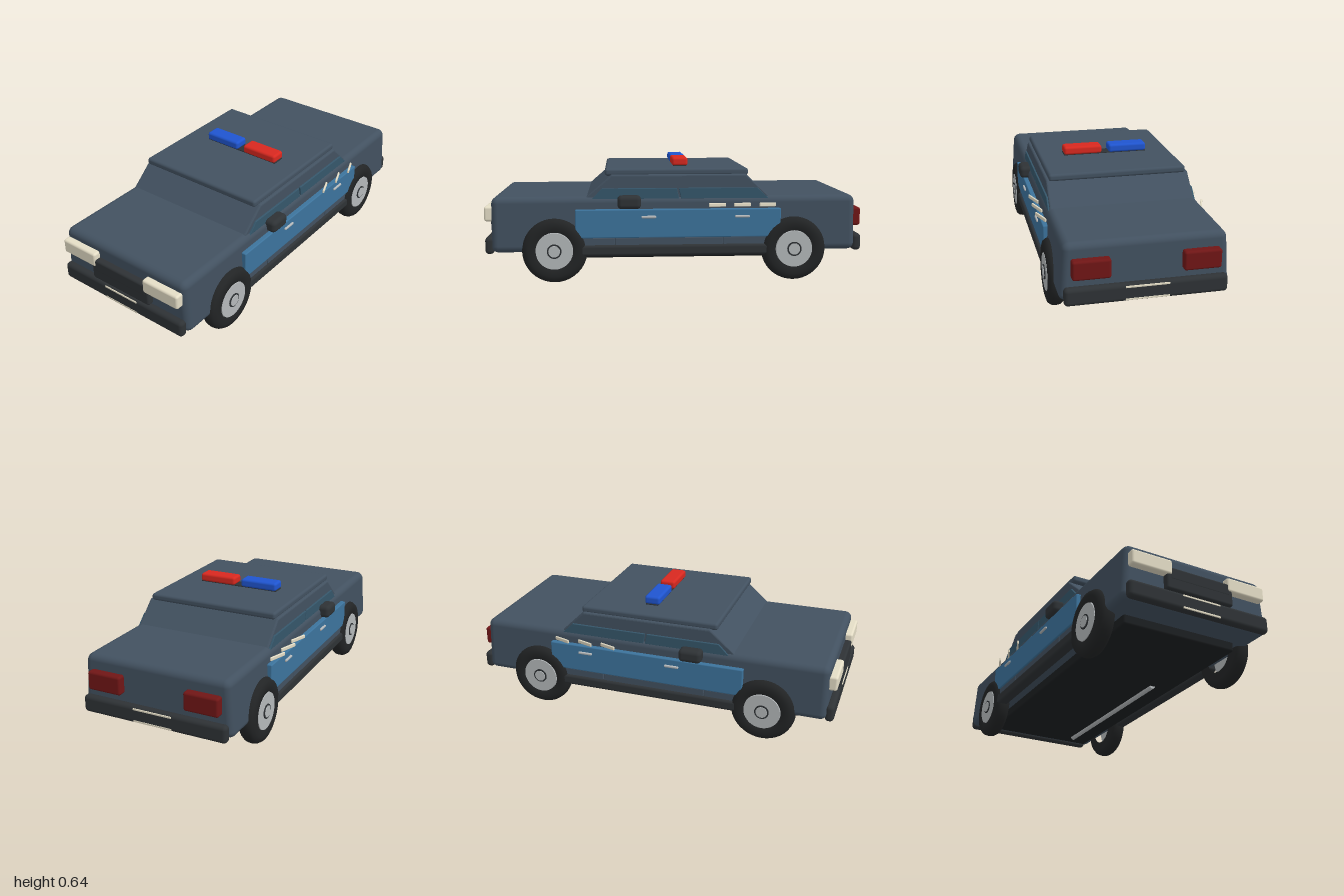
import * as THREE from 'three';
import { RoundedBoxGeometry } from 'three/addons/geometries/RoundedBoxGeometry.js';

const paint = (color) => new THREE.MeshStandardMaterial({ color });
const mats = {
  body: paint(0x425160), door: paint(0x3c739c), glass: paint(0x35566a),
  rubber: paint(0x222425), trim: paint(0x2e3235), under: paint(0x1c1f21),
  metal: paint(0xb4b8ba), cream: paint(0xe4ddc6), tail: paint(0x701616),
  red: paint(0xd8281f), blue: paint(0x1f55d0),
};

export function createModel() {
  const car = new THREE.Group();
  car.name = 'patrolCar';

  function add(name, geometry, material, parent = car) {
    const mesh = new THREE.Mesh(geometry, material);
    mesh.name = name;
    parent.add(mesh);
    return mesh;
  }
  // rounded box given by its extents [min, max] on each axis
  function box(name, x, y, z, radius, material, parent) {
    const size = [x, y, z].map(([a, b]) => b - a);
    const r = Math.min(radius, Math.min(...size) * 0.49);
    const mesh = add(name, new RoundedBoxGeometry(...size, 3, r), material, parent);
    mesh.position.set((x[0] + x[1]) / 2, (y[0] + y[1]) / 2, (z[0] + z[1]) / 2);
    return mesh;
  }
  const mirrored = (s, [a, b]) => (s > 0 ? [a, b] : [-b, -a]);
  // side outline given as [z, y] points, extruded along x from x0 to x1
  function sideProfile(name, points, x0, x1, bevel, material) {
    const shape = new THREE.Shape(points.map(([z, y]) => new THREE.Vector2(-z, y)));
    const geometry = new THREE.ExtrudeGeometry(shape, {
      depth: x1 - x0 - 2 * bevel, bevelEnabled: bevel > 0, bevelSize: bevel,
      bevelThickness: bevel, bevelOffset: -bevel, bevelSegments: 3,
    });
    geometry.rotateY(Math.PI / 2).translate(x0 + bevel, 0, 0);
    return add(name, geometry, material);
  }

  // body shell, leaning inwards slightly towards the top
  const shell = box('body', [-0.415, 0.415], [0.163, 0.455], [-0.957, 0.962], 0.035, mats.body);
  const pos = shell.geometry.attributes.position;
  for (let i = 0; i < pos.count; i++) {
    const lift = Math.max(0, pos.getY(i) / 0.146);
    pos.setX(i, pos.getX(i) * (1 - 0.05 * lift));
  }

  // cabin and roof
  sideProfile('cabin', [[0.482, 0.44], [-0.51, 0.44], [-0.375, 0.568], [0.335, 0.568]],
    -0.38, 0.38, 0.01, mats.body);
  box('roof', [-0.365, 0.365], [0.56, 0.598], [-0.388, 0.37], 0.014, mats.body);

  // roof beacons
  box('beaconBase', [-0.23, 0.23], [0.596, 0.604], [-0.07, 0], 0.003, mats.trim);
  box('blueBeacon', [-0.23, -0.02], [0.6, 0.645], [-0.077, 0.008], 0.013, mats.blue);
  box('redBeacon', [0.02, 0.23], [0.6, 0.645], [-0.077, 0.008], 0.013, mats.red);

  // floor and exhaust
  box('floor', [-0.32, 0.32], [0.115, 0.19], [-0.81, 0.81], 0.012, mats.under);
  const exhaust = add('exhaust', new THREE.CylinderGeometry(0.016, 0.016, 0.96, 14), mats.metal);
  exhaust.rotation.x = Math.PI / 2;
  exhaust.position.set(0.195, 0.116, -0.24);

  // front and rear bumpers with plate edges
  for (const s of [1, -1]) {
    const end = s > 0 ? 'front' : 'rear';
    box(end + 'Bumper', [-0.398, 0.398], [0.155, 0.245], mirrored(s, [0.95, 0.997]), 0.02, mats.trim);
    for (const y of [0.168, 0.231])
      box(end + 'PlateEdge', [-0.107, 0.107], [y - 0.005, y + 0.005],
        mirrored(s, [0.97, 0.998]), 0.002, mats.cream);
  }

  // stepped grille
  box('grille', [-0.19, 0.19], [0.25, 0.34], [0.95, 0.995], 0.012, mats.trim);
  box('grilleTop', [-0.174, 0.174], [0.3, 0.37], [0.95, 0.996], 0.012, mats.trim);

  // tyre cross-section: [radius, offset along the axle]
  const tyre = [[0.09, -0.04], [0.135, -0.043], [0.157, -0.036], [0.168, -0.02], [0.171, 0],
    [0.168, 0.02], [0.157, 0.036], [0.135, 0.043], [0.1, 0.041], [0.1, 0.03], [0, 0.03]];
  const tyreGeometry = new THREE.LatheGeometry(tyre.map(([r, h]) => new THREE.Vector2(r, h)), 40);

  for (const s of [1, -1]) {
    const side = s > 0 ? 'left' : 'right';

    // lamps
    box(side + 'Headlight', mirrored(s, [0.16, 0.382]), [0.327, 0.405], [0.95, 1], 0.012, mats.cream);
    box(side + 'TailLight', mirrored(s, [0.175, 0.36]), [0.285, 0.382], [-1, -0.95], 0.012, mats.tail);

    // windows
    const panes = {
      FrontWindow: [[0.44, 0.44], [-0.02, 0.44], [-0.008, 0.497], [0.385, 0.497]],
      RearWindow: [[-0.03, 0.44], [-0.495, 0.44], [-0.435, 0.497], [-0.018, 0.497]],
    };
    const [w0, w1] = mirrored(s, [0.37, 0.389]);
    for (const [name, points] of Object.entries(panes))
      sideProfile(side + name, points, w0, w1, 0.003, mats.glass);

    // doors, sill and skirt
    box(side + 'Doors', mirrored(s, [0.38, 0.427]), [0.24, 0.39], [-0.555, 0.525], 0.006, mats.door);
    const sills = [[-0.5, -0.252], [-0.248, 0.318], [0.322, 0.5]];
    for (const z of sills)
      box(side + 'Sill', mirrored(s, [0.39, 0.42]), [0.19, 0.24], z, 0.004, mats.body);
    box(side + 'Skirt', mirrored(s, [0.37, 0.432]), [0.145, 0.203], [-0.52, 0.52], 0.015, mats.trim);
    for (const z of [0.142, -0.35])
      box(side + 'DoorHandle', mirrored(s, [0.42, 0.436]), [0.344, 0.357], [z - 0.039, z + 0.039],
        0.005, mats.metal);

    // mirror and slanted vent blades
    box(side + 'Mirror', mirrored(s, [0.375, 0.447]), [0.393, 0.462], [0.182, 0.305], 0.022, mats.trim);
    for (const z of [-0.218, -0.35, -0.484]) {
      const blade = add(side + 'VentBlade', new RoundedBoxGeometry(0.01, 0.02, 0.1, 2, 0.004), mats.cream);
      blade.position.set(s * 0.426, 0.411, z);
      blade.rotation.set(-0.05, s * 0.38, 0);
    }

    // wheels
    for (const z of [0.635, -0.628]) {
      const wheel = new THREE.Group();
      wheel.name = side + (z > 0 ? 'Front' : 'Rear') + 'Wheel';
      wheel.position.set(s * 0.393, 0.174, z);
      wheel.rotation.z = -s * Math.PI / 2;
      car.add(wheel);
      add('tyre', tyreGeometry, mats.rubber, wheel);
      const rim = add('rim', new THREE.CylinderGeometry(0.096, 0.1, 0.03, 36), mats.metal, wheel);
      rim.position.y = 0.027;
      const ring = add('hubRing', new THREE.CylinderGeometry(0.038, 0.038, 0.01, 24), mats.trim, wheel);
      ring.position.y = 0.042;
      const cap = add('hubCap', new THREE.CylinderGeometry(0.03, 0.033, 0.02, 24), mats.metal, wheel);
      cap.position.y = 0.04;
    }
  }
  return car;
}
